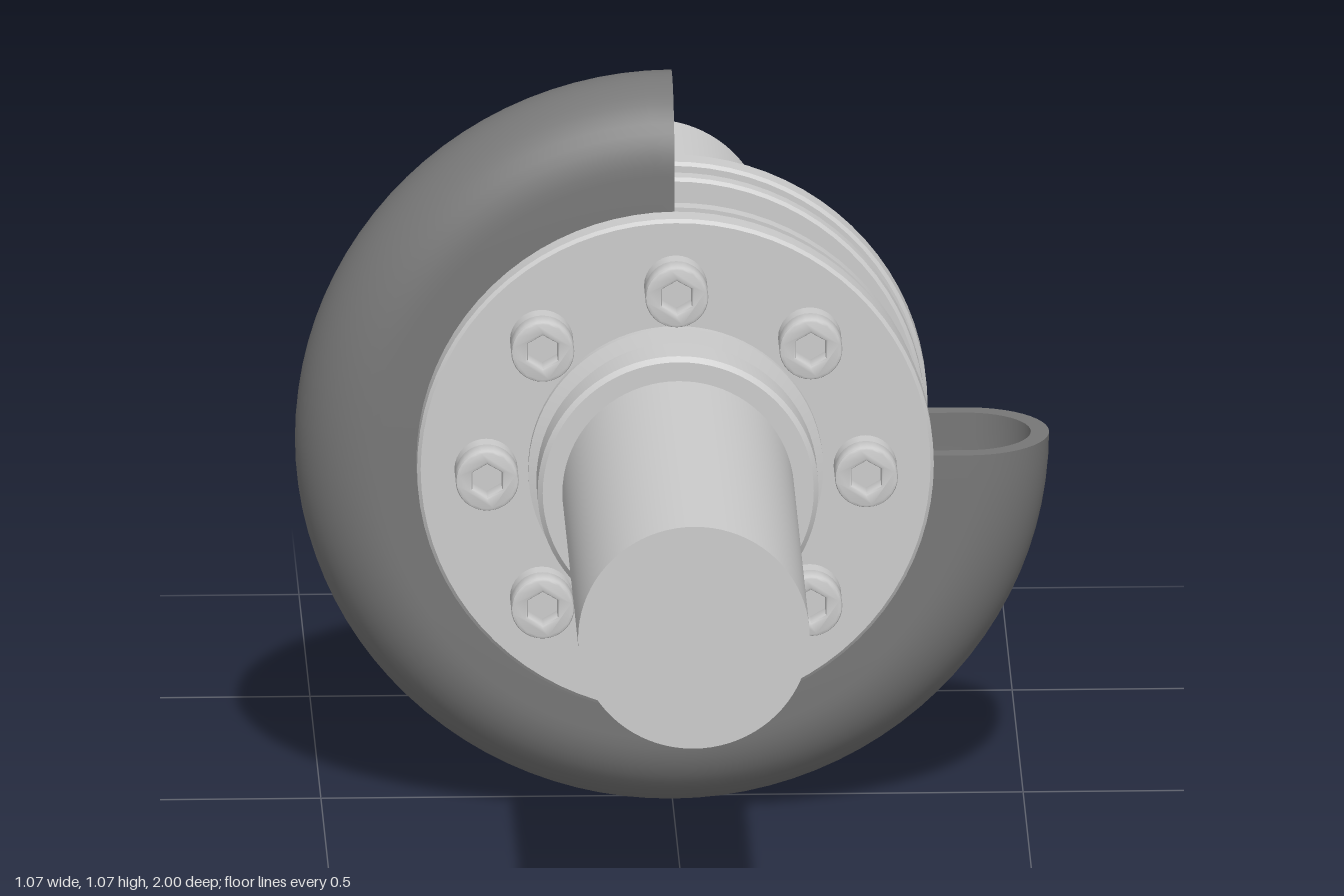
import * as THREE from 'three';
import { toCreasedNormals } from 'three/addons/utils/BufferGeometryUtils.js';

const CENTRE_Y = 0.537;
const steel = new THREE.MeshStandardMaterial({ color: 0xcccccc });
const rubber = new THREE.MeshStandardMaterial({ color: 0x777777 });
const rubberCut = new THREE.MeshStandardMaterial({ color: 0x777777, side: THREE.DoubleSide });

function add(parent, name, geometry, material = steel) {
  const mesh = new THREE.Mesh(geometry, material);
  mesh.name = name;
  parent.add(mesh);
  return mesh;
}

// Revolves a [radius, z] profile about the z axis.
function turned(profile, start = 0, sweep = Math.PI * 2, segments = 80) {
  const points = profile.map(([r, z]) => new THREE.Vector2(r, z));
  const geometry = new THREE.LatheGeometry(points, segments, start, sweep);
  geometry.rotateX(Math.PI / 2);
  return toCreasedNormals(geometry, 0.5);
}

// Cap screw with a hexagonal socket, standing on z = 0.
function makeBolt() {
  const bolt = new THREE.Group();
  bolt.name = 'bolt';
  const R = 0.045, floor = 0.028, top = 0.06;
  add(bolt, 'boltShank', turned([[0, -0.114], [0.02, -0.114], [0.02, 0]], 0, Math.PI * 2, 24));
  add(bolt, 'boltHeadBase', turned([[0, 0], [R, 0], [R, floor], [0, floor]], 0, Math.PI * 2, 32));
  const rim = new THREE.Shape().absarc(0, 0, R - 0.004, 0, Math.PI * 2);
  const hex = [];
  for (let i = 0; i < 6; i++) {
    const a = Math.PI / 2 - i * Math.PI / 3;
    hex.push(new THREE.Vector2(Math.cos(a) * 0.029, Math.sin(a) * 0.029));
  }
  rim.holes.push(new THREE.Path(hex));
  const head = new THREE.ExtrudeGeometry(rim, {
    depth: top - floor - 0.004, curveSegments: 16,
    bevelThickness: 0.004, bevelSize: 0.004, bevelSegments: 2,
  });
  head.translate(0, 0, floor);
  add(bolt, 'boltHeadSocket', toCreasedNormals(head, 0.5));
  return bolt;
}

// One side of the coupling: shaft, hub, flange, clamp ring and bolts.
function makeHalf(name) {
  const half = new THREE.Group();
  half.name = name;
  add(half, 'shaft', turned([[0, 0.06], [0.165, 0.06], [0.165, 1], [0, 1]]));
  add(half, 'hub', turned([
    [0.16, 0.16], [0.21, 0.16], [0.21, 0.175], [0.19, 0.18], [0.19, 0.215],
    [0.2, 0.22], [0.2, 0.278], [0.193, 0.285], [0.16, 0.285],
  ]));
  add(half, 'flange', turned([
    [0.16, 0.118], [0.363, 0.118], [0.368, 0.123], [0.368, 0.158], [0.363, 0.163], [0.16, 0.163],
  ]));
  add(half, 'spacer', turned([[0.3, 0.085], [0.3, 0.118]]));
  add(half, 'clampRing', turned([
    [0.16, 0.058], [0.358, 0.058], [0.363, 0.063], [0.363, 0.086], [0.16, 0.086],
  ]));
  for (let i = 0; i < 8; i++) {
    const a = i * Math.PI / 4;
    const bolt = makeBolt();
    bolt.position.set(Math.cos(a) * 0.27, Math.sin(a) * 0.27, 0.163);
    half.add(bolt);
  }
  return half;
}

// Rubber tyre wrapped over three quarters, with flat cut ends.
function makeTyre() {
  const tyre = new THREE.Group();
  tyre.name = 'tyre';
  const outer = 0.118, inner = 0.092, arcCentre = 0.419, root = 0.3;
  const arc = (radius) => {
    const points = [[root, -radius]];
    for (let i = 0; i <= 24; i++) {
      const a = -Math.PI / 2 + i * Math.PI / 24;
      points.push([arcCentre + radius * Math.cos(a), radius * Math.sin(a)]);
    }
    points.push([root, radius]);
    return points;
  };
  const section = [...arc(outer), ...arc(inner).reverse()];
  add(tyre, 'tyreBody', turned([...section, section[0]], Math.PI, Math.PI * 1.5, 72), rubber);

  const face = new THREE.ShapeGeometry(
    new THREE.Shape(section.map(([r, z]) => new THREE.Vector2(r, z))));
  face.rotateX(Math.PI / 2);
  add(tyre, 'tyreCutSide', face, rubberCut);
  add(tyre, 'tyreCutTop', face.clone().rotateZ(Math.PI / 2), rubberCut);
  return tyre;
}

export function createModel() {
  const model = new THREE.Group();
  model.name = 'tyreCoupling';
  const front = makeHalf('frontHalf');
  const back = makeHalf('backHalf');
  back.rotation.y = Math.PI;
  model.add(front, back, makeTyre());
  model.children.forEach((part) => { part.position.y = CENTRE_Y; });
  return model;
}
